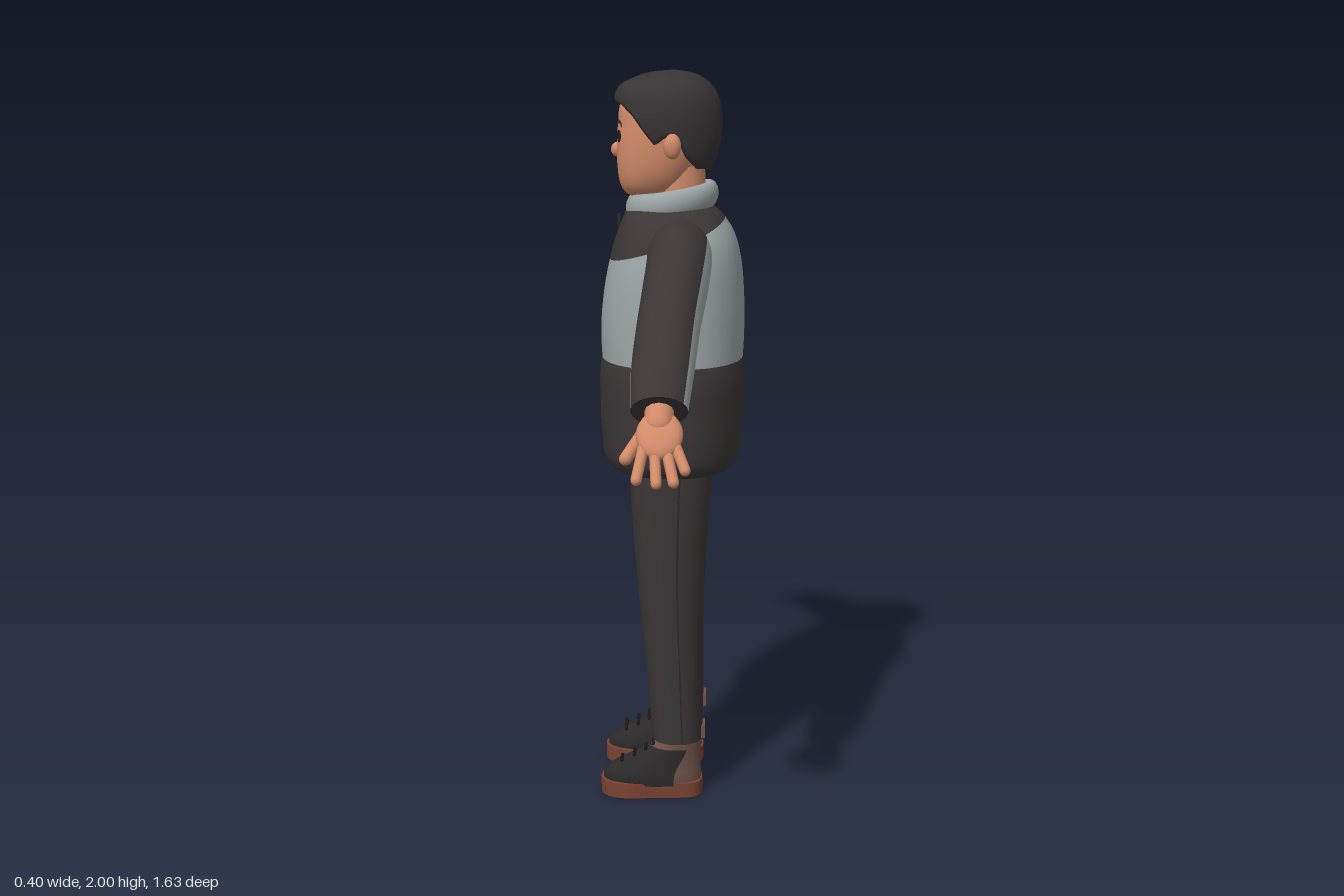
import * as THREE from 'three';
import { mergeVertices } from 'three/addons/utils/BufferGeometryUtils.js';

const mat = (name, color) => Object.assign(new THREE.MeshStandardMaterial({ color }), { name });
const dark = mat('charcoal cloth', 0x3b3536);
const hairMat = mat('dark hair', 0x383334);
const grey = mat('grey cloth', 0x9ca4a6);
const skin = mat('skin', 0xd18b69);
const black = mat('black leather', 0x2b292a);
const brown = mat('brown leather', 0x6f5149);
const soleMat = mat('rust sole', 0x7a4232);
const ink = mat('eye ink', 0x1f1815);

const V = (x, y, z) => new THREE.Vector3(x, y, z);
const TAU = Math.PI * 2;

function mesh(parent, name, geo, material) {
  const m = new THREE.Mesh(geo, material);
  m.name = name;
  parent.add(m);
  return m;
}

// Smooth grid surface from a point rule f(u, t), t in 0..1
function patch(f, u0, u1, nu, nv) {
  const pos = [], idx = [];
  for (let j = 0; j <= nv; j++) for (let i = 0; i <= nu; i++) {
    pos.push(...f(u0 + (u1 - u0) * i / nu, j / nv).toArray());
  }
  for (let j = 0; j < nv; j++) for (let i = 0; i < nu; i++) {
    const a = j * (nu + 1) + i, c = a + nu + 1;
    idx.push(a, a + 1, c + 1, a, c + 1, c);
  }
  let g = new THREE.BufferGeometry();
  g.setAttribute('position', new THREE.Float32BufferAttribute(pos, 3));
  g.setIndex(idx);
  g = mergeVertices(g, 1e-5);
  g.computeVertexNormals();
  return g;
}

// Body from rows [y, xMin, xMax, zBack, zFront]; returns point(angle, y, outset), angle 0 = front
function body(rows, n = 2.2) {
  const spline = new THREE.CubicInterpolant(rows.map(r => r[0]), rows.flatMap(r => r.slice(1)), 4);
  const pw = s => Math.sign(s) * Math.abs(s) ** (2 / n);
  return (a, y, out = 0, k = 1) => {
    const [x0, x1, z0, z1] = spline.evaluate(y);
    return V((x0 + x1) / 2 + ((x1 - x0) / 2 + out) * k * pw(Math.sin(a)), y,
      (z0 + z1) / 2 + ((z1 - z0) / 2 + out) * k * pw(Math.cos(a)));
  };
}
const sym = rows => rows.map(([y, w, zb, zf]) => [y, -w, w, zb, zf]);
const band = (s, lo, hi, nv = 14) => patch((a, t) => s(a, lo + (hi - lo) * t), 0, TAU, 48, nv);
const underside = (s, y) => patch((a, t) => s(a, y, 0, t), 0, TAU, 48, 1);

function ball(parent, name, p, r, material) {
  const m = mesh(parent, name, new THREE.SphereGeometry(1, 20, 14), material);
  m.position.copy(p);
  m.scale.set(...r);
  return m;
}
function capsule(parent, name, p, q, r, material) {
  const d = q.clone().sub(p);
  const m = mesh(parent, name, new THREE.CapsuleGeometry(r, d.length(), 5, 12), material);
  m.position.copy(p).addScaledVector(d, 0.5);
  m.quaternion.setFromUnitVectors(V(0, 1, 0), d.normalize());
  return m;
}

// Copy of a group reflected in x, with the face order turned round
function mirrored(group, name) {
  const out = new THREE.Group();
  out.name = name;
  group.updateMatrixWorld(true);
  group.traverse(o => {
    if (!o.isMesh) return;
    let g = o.geometry.clone().applyMatrix4(o.matrixWorld).scale(-1, 1, 1);
    if (!g.index) g = mergeVertices(g);
    const ix = g.index.array;
    for (let i = 0; i < ix.length; i += 3) [ix[i], ix[i + 1]] = [ix[i + 1], ix[i]];
    mesh(out, o.name, g, o.material);
  });
  return out;
}

function makeJacket() {
  const g = new THREE.Group();
  g.name = 'jacket';
  const skirt = body(sym([[0.935, 0.218, -0.165, 0.172], [0.95, 0.234, -0.176, 0.186], [1.0, 0.242, -0.186, 0.195],
    [1.1, 0.24, -0.193, 0.2], [1.2, 0.236, -0.196, 0.2], [1.235, 0.228, -0.19, 0.195]]), 2.3);
  const chest = body(sym([[1.23, 0.227, -0.19, 0.194], [1.3, 0.225, -0.193, 0.197], [1.4, 0.222, -0.192, 0.19],
    [1.5, 0.213, -0.183, 0.172], [1.56, 0.195, -0.168, 0.155], [1.6, 0.167, -0.146, 0.14],
    [1.63, 0.13, -0.12, 0.125], [1.65, 0.09, -0.09, 0.1]]), 2.3);
  const seam = a => 1.555 - 0.055 * Math.cos(a);
  mesh(g, 'lower jacket', band(skirt, 0.935, 1.235), dark);
  mesh(g, 'jacket underside', underside(skirt, 0.935), dark);
  mesh(g, 'chest panel', patch((a, t) => chest(a, 1.23 + (seam(a) - 1.23) * t), 0, TAU, 56, 16), grey);
  mesh(g, 'shoulder yoke', patch((a, t) => chest(a, seam(a) + (1.65 - seam(a)) * t), 0, TAU, 56, 10), dark);
  // front zip strip and pull
  mesh(g, 'lower zip', patch((a, t) => skirt(a, 0.95 + 0.285 * t, 0.004), -0.03, 0.03, 4, 12), grey);
  mesh(g, 'upper zip', patch((a, t) => chest(a, 1.235 + 0.38 * t, 0.004), -0.03, 0.03, 4, 16), grey);
  mesh(g, 'zip pull', new THREE.BoxGeometry(0.012, 0.035, 0.008), black).position.set(0, 1.6, 0.147);
  // padded collar, lower at the front
  mesh(g, 'collar', patch((a, t) => {
    const v = t * TAU, r = 0.022 * Math.cos(v), z = (0.103 + r) * Math.cos(a);
    return V((0.1 + r) * Math.sin(a), 1.655 - 0.17 * z + 0.036 * Math.sin(v), z + 0.004);
  }, 0, TAU, 40, 14), grey);
  return g;
}

function makeHead() {
  const g = new THREE.Group();
  g.name = 'head';
  const face = body(sym([[1.66, 0.03, 0.02, 0.1], [1.675, 0.06, -0.01, 0.128], [1.7, 0.082, -0.035, 0.143],
    [1.74, 0.098, -0.06, 0.15], [1.8, 0.107, -0.085, 0.152], [1.86, 0.108, -0.1, 0.148],
    [1.92, 0.1, -0.1, 0.138], [1.96, 0.07, -0.07, 0.1]]), 2.15);
  mesh(g, 'face', band(face, 1.66, 1.96, 22), skin);
  mesh(g, 'jaw underside', underside(face, 1.66), skin);
  mesh(g, 'neck', new THREE.CylinderGeometry(0.072, 0.078, 0.16, 28), skin).position.set(0, 1.67, -0.012);
  ball(g, 'nose', V(0, 1.79, 0.15), [0.017, 0.02, 0.018], skin);
  mesh(g, 'mouth', patch((a, t) => face(a, 1.734 + 0.007 * t + 0.1 * a * a, 0.003), -0.13, 0.13, 10, 1), ink);
  for (const s of [-1, 1]) {
    ball(g, 'ear', V(s * 0.115, 1.808, 0), [0.019, 0.034, 0.023], skin);
    const eye = ball(g, 'eye', face(s * 0.36, 1.828, 0), [0.013, 0.017, 0.004], ink);
    eye.rotation.y = s * 0.35;
    mesh(g, 'eyebrow', patch((a, t) => face(s * 0.38 + a, 1.862 + 0.01 * t - 0.4 * a * a, 0.004), -0.17, 0.17, 10, 1), hairMat);
  }
  // hair cap with a shaped hairline and a turned-in edge
  const hair = body(sym([[1.73, 0.094, -0.095, 0.11], [1.78, 0.11, -0.119, 0.138], [1.84, 0.118, -0.13, 0.153],
    [1.9, 0.118, -0.128, 0.158], [1.94, 0.108, -0.116, 0.155], [1.965, 0.09, -0.098, 0.136],
    [1.982, 0.068, -0.075, 0.1], [1.994, 0.04, -0.044, 0.06], [2.0, 0.004, -0.004, 0.008]]), 2.1);
  const deg = [0, 35, 52, 64, 76, 86, 98, 112, 135, 180];
  const edge = [1.928, 1.912, 1.885, 1.845, 1.808, 1.83, 1.83, 1.775, 1.745, 1.738];
  const line = a => {
    const d = 180 - Math.abs(180 - THREE.MathUtils.radToDeg(a));
    const i = Math.max(1, deg.findIndex(v => v >= d - 1e-9));
    return THREE.MathUtils.mapLinear(d, deg[i - 1], deg[i], edge[i - 1], edge[i]);
  };
  mesh(g, 'hair', patch((a, t) => {
    const lo = line(a), k = Math.max(0, (t - 0.05) / 0.95);
    return hair(a, lo + (2 - lo) * Math.sin(k * Math.PI / 2), 0, t === 0 ? 0.86 : 1);
  }, 0, TAU, 72, 20), hairMat);
  return g;
}

function makeArm() {
  const g = new THREE.Group();
  g.name = 'leftArm';
  const path = new THREE.CatmullRomCurve3([V(0.11, 1.54, -0.02), V(0.21, 1.508, -0.02), V(0.33, 1.455, -0.012),
    V(0.45, 1.388, 0), V(0.57, 1.305, 0.01), V(0.665, 1.225, 0.015)]);
  const size = new THREE.CatmullRomCurve3([V(0.085, 0.085, 0), V(0.103, 0.085, 0), V(0.102, 0.083, 0),
    V(0.09, 0.08, 0), V(0.076, 0.078, 0), V(0.058, 0.07, 0)]);
  const sleeve = (a, t, k = 1) => {
    const d = path.getTangent(t), r = size.getPoint(t);
    const up = V(-d.y, d.x, 0).normalize();
    return path.getPoint(t).addScaledVector(up, r.x * k * Math.cos(a)).add(V(0, 0, r.y * k * Math.sin(a)));
  };
  mesh(g, 'sleeve top', patch(sleeve, -1.0, 1.35, 22, 28), dark);
  mesh(g, 'sleeve underside', patch(sleeve, 1.35, TAU - 1.0, 30, 28), grey);
  mesh(g, 'sleeve end', patch((a, t) => sleeve(a, 1, 1 - t), 0, TAU, 32, 1), dark);
  // hand
  capsule(g, 'wrist', V(0.64, 1.247, 0.015), V(0.69, 1.2, 0.015), 0.036, skin);
  const palm = ball(g, 'palm', V(0.712, 1.178, 0.013), [0.025, 0.066, 0.057], skin);
  palm.rotation.z = 0.76;
  const fingers = [[0.05, 0.785, 1.085, 0.066], [0.025, 0.8, 1.08, 0.018], [-0.002, 0.798, 1.083, -0.023], [-0.026, 0.777, 1.107, -0.05]];
  for (const [z, ...tip] of fingers) capsule(g, 'finger', V(0.728, 1.155, z), V(...tip), 0.0135, skin);
  capsule(g, 'thumb', V(0.69, 1.19, 0.045), V(0.728, 1.122, 0.094), 0.016, skin);
  return g;
}

function makeLeg() {
  const g = new THREE.Group();
  g.name = 'leftLeg';
  const leg = body([[0.165, 0.038, 0.196, -0.085, 0.056], [0.35, 0.034, 0.198, -0.084, 0.07], [0.55, 0.027, 0.202, -0.086, 0.09],
    [0.8, 0.013, 0.207, -0.1, 0.11], [0.97, 0.0, 0.207, -0.115, 0.118]], 2.3);
  mesh(g, 'trouser leg', band(leg, 0.165, 0.97), dark);
  mesh(g, 'trouser hem', underside(leg, 0.165), dark);
  mesh(g, 'side seam', patch((a, t) => leg(a, 0.17 + 0.77 * t, 0.002), 1.72, 1.76, 1, 12), black);

  // boot sole from a footprint
  const print = new THREE.Shape();
  print.moveTo(0.12, 0.085);
  print.bezierCurveTo(0.2, 0.085, 0.172, 0.02, 0.185, -0.07);
  print.bezierCurveTo(0.2, -0.16, 0.17, -0.2, 0.12, -0.2);
  print.bezierCurveTo(0.07, -0.2, 0.04, -0.16, 0.055, -0.07);
  print.bezierCurveTo(0.068, 0.02, 0.04, 0.085, 0.12, 0.085);
  const sole = new THREE.ExtrudeGeometry(print, { depth: 0.042, bevelEnabled: false, curveSegments: 14 });
  mesh(g, 'boot sole', sole, soleMat).rotation.x = -Math.PI / 2;
  // boot upper: black front, brown heel
  const boot = body([[0.035, 0.056, 0.186, -0.081, 0.193], [0.06, 0.055, 0.187, -0.081, 0.19], [0.08, 0.059, 0.183, -0.08, 0.168],
    [0.105, 0.065, 0.178, -0.08, 0.118], [0.13, 0.067, 0.176, -0.08, 0.072], [0.16, 0.067, 0.175, -0.081, 0.045],
    [0.195, 0.067, 0.175, -0.083, 0.04]], 2.2);
  const part = (lo, hi) => (a, t) => boot(a, lo + (hi - lo) * t);
  mesh(g, 'boot front', patch(part(0.035, 0.14), -2.0, 2.0, 36, 12), black);
  mesh(g, 'boot heel', patch(part(0.035, 0.14), 2.0, TAU - 2.0, 20, 12), brown);
  mesh(g, 'boot ankle', band(boot, 0.14, 0.195, 6), brown);
  mesh(g, 'pull tab', new THREE.BoxGeometry(0.055, 0.035, 0.012), brown).position.set(0.12, 0.185, -0.086);
  // laces
  for (let i = 0; i < 4; i++) {
    const y = 0.092 + i * 0.017, p = boot(0, y);
    capsule(g, 'lace', V(0.095, y, p.z - 0.004), V(0.147, y + 0.006, p.z - 0.004), 0.005, ink);
  }
  return g;
}

export function createModel() {
  const model = new THREE.Group();
  model.name = 'man in jacket';
  const arm = makeArm(), leg = makeLeg();
  model.add(makeJacket(), makeHead(), arm, mirrored(arm, 'rightArm'), leg, mirrored(leg, 'rightLeg'));
  // turn the figure to face -x
  model.rotation.y = -Math.PI / 2;
  return model;
}
